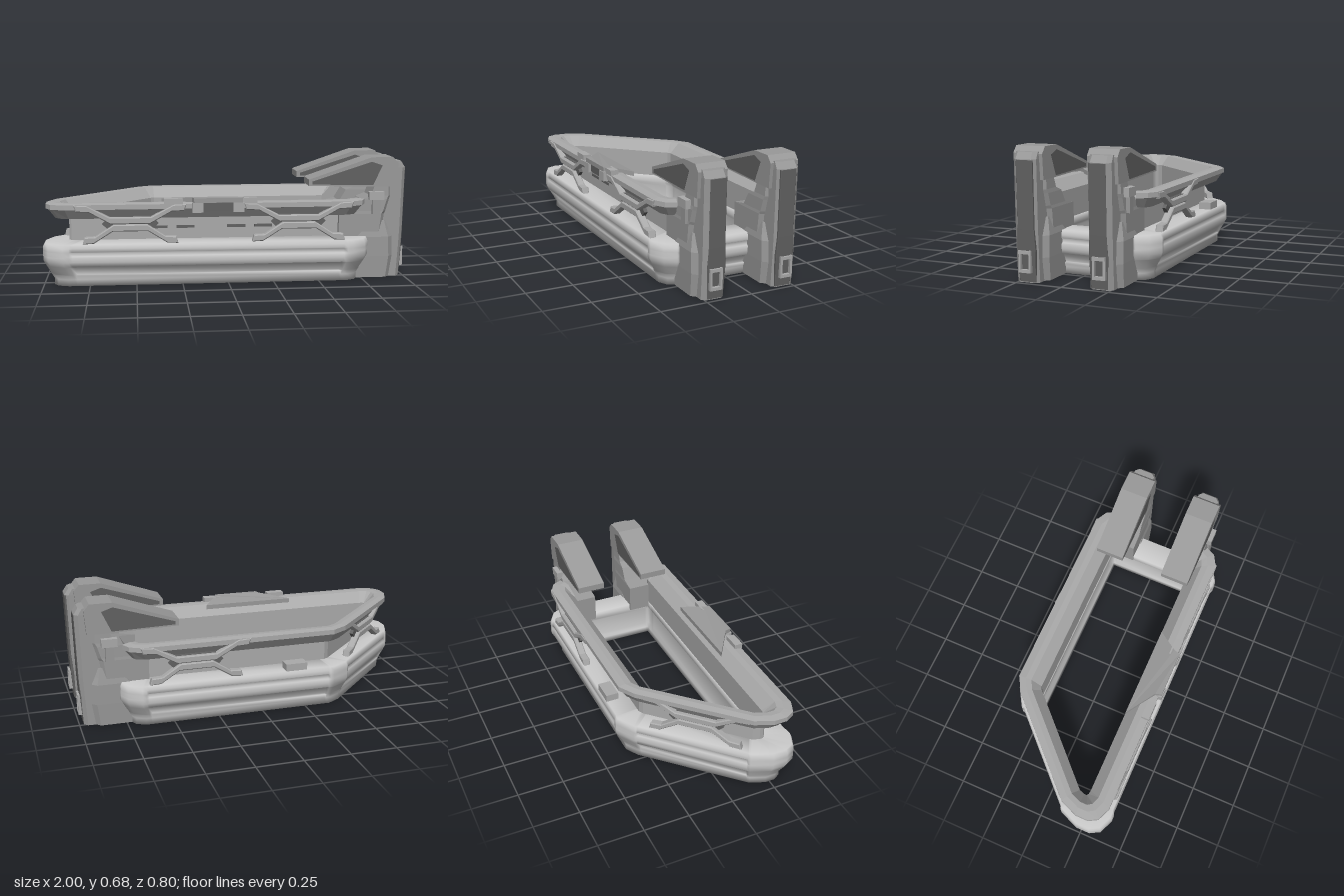
import * as THREE from 'three';
import { mergeVertices } from 'three/addons/utils/BufferGeometryUtils.js';

function material(color, flatShading = true) {
  return new THREE.MeshStandardMaterial({ color, flatShading, side: THREE.DoubleSide });
}
const ringGrey = material(0xc4c4c4, false);
const rimGrey = material(0xaaaaaa);
const braceGrey = material(0xaaaaaa);
const armGrey = material(0x999999);
const darkGrey = material(0x626262);

function add(parent, name, geo, mat, x = 0, y = 0, z = 0) {
  const m = new THREE.Mesh(geo, mat);
  m.name = name;
  m.position.set(x, y, z);
  parent.add(m);
}

// box given by its min and max corners
function box(parent, name, mat, x0, x1, y0, y1, z0, z1) {
  add(parent, name, new THREE.BoxGeometry(x1 - x0, y1 - y0, z1 - z0), mat,
    (x0 + x1) / 2, (y0 + y1) / 2, (z0 + z1) / 2);
}

// skin over closed cross-sections; joined end to start, or capped with fans
function skin(rows, loop) {
  const n = rows[0].length, tris = [];
  for (let i = 0; i < rows.length - (loop ? 0 : 1); i++) {
    const a = rows[i], b = rows[(i + 1) % rows.length];
    for (let j = 0; j < n; j++) {
      const k = (j + 1) % n;
      tris.push([a[j], b[j], b[k]], [a[j], b[k], a[k]]);
    }
  }
  if (!loop) {
    const a = rows[0], b = rows[rows.length - 1];
    for (let j = 1; j < n - 1; j++) tris.push([a[0], a[j], a[j + 1]], [b[0], b[j + 1], b[j]]);
  }
  // turn the faces outwards by the sign of the volume
  let volume = 0;
  for (const [a, b, c] of tris) volume += a.dot(b.clone().cross(c));
  if (volume < 0) tris.forEach(t => t.reverse());
  const g = mergeVertices(new THREE.BufferGeometry().setFromPoints(tris.flat()));
  g.computeVertexNormals();
  return g;
}

function extrude(pts, depth, bevel = 0) {
  return new THREE.ExtrudeGeometry(new THREE.Shape(pts.map(p => new THREE.Vector2(...p))), {
    depth, bevelEnabled: bevel > 0, bevelSize: bevel, bevelThickness: bevel, bevelSegments: 1, bevelOffset: -bevel
  });
}

// plan of the frame: outer and inner corner pairs [x, z, innerX, innerZ]
const plan = [
  [0.78, 0.30, 0.63, 0.242], [0.75, 0.36, 0.63, 0.245], [0.68, 0.40, 0.61, 0.245],
  [-0.89, 0.40, -0.82, 0.245], [-0.97, 0.365, -0.84, 0.242], [-1.0, 0.31, -0.85, 0.235],
  [-1.0, 0.23, -0.85, 0.22], [-0.955, 0.12, -0.84, 0.19], [-0.50, -0.34, -0.41, -0.24],
  [-0.40, -0.40, -0.39, -0.25], [0.68, -0.40, 0.61, -0.25], [0.75, -0.36, 0.63, -0.25],
  [0.78, -0.30, 0.63, -0.245]
];

// stations along the plan; the long runs are marked as recessed between the corners
function stations(closed) {
  const out = [];
  plan.forEach((a, i) => {
    out.push({ p: a, r: 0 });
    const b = plan[(i + 1) % plan.length];
    if (!closed && i === plan.length - 1) return;
    if (Math.hypot(b[0] - a[0], b[1] - a[1]) < 0.4) return;
    for (const [f, r] of [[0.02, 0], [0.03, 1], [0.97, 1], [0.98, 0]])
      out.push({ p: a.map((v, k) => v + (b[k] - v) * f), r });
  });
  return out;
}

// profile entries: [way from outer to inner edge, y, recess on long runs]
function frameRing(profile, closed) {
  return skin(stations(closed).map(({ p, r }) => profile.map(([t, y, k = 0]) => {
    const f = t + k * r;
    return new THREE.Vector3(p[0] + (p[2] - p[0]) * f, y, p[1] + (p[3] - p[1]) * f);
  })), closed);
}

// crossed brace standing well off the wall, between ring and rim
function crossBrace(parent, x) {
  const g = new THREE.Group();
  g.name = 'crossBrace';
  g.position.x = x;
  const line = [[-0.3, 0.445], [-0.23, 0.442], [-0.11, 0.378], [0.11, 0.378], [0.23, 0.442], [0.3, 0.445]];
  const upper = [...line, ...line.map(([a, b]) => [a * 0.96, b - 0.036]).reverse()];
  const lower = upper.map(([a, b]) => [a * 0.85, 0.68 - b]).reverse();
  add(g, 'upperBrace', extrude(upper, 0.03, 0.005), braceGrey, 0, 0, -0.05);
  add(g, 'lowerBrace', extrude(lower, 0.03, 0.005), braceGrey, 0, 0, -0.05);
  add(g, 'bracePlate', extrude([[-0.15, 0.34], [-0.11, 0.3], [0.11, 0.3], [0.15, 0.34], [0.11, 0.38], [-0.11, 0.38]], 0.02),
    darkGrey, 0, 0, -0.057);
  parent.add(g);
}

// side group: local x runs along the side, local z points outwards
function side(parent, name, x, z, angle, braces) {
  const g = new THREE.Group();
  g.name = name;
  g.position.set(x, 0, z);
  g.rotation.y = angle;
  braces.forEach(b => crossBrace(g, b));
  parent.add(g);
  return g;
}

// upright: rows of [y, inner x, outer x, half width, chamfer]
function upright(rows) {
  return skin(rows.map(([y, x0, x1, h, c]) => [
    [x0, -h], [x1 - c, -h], [x1, c - h], [x1, h - c], [x1 - c, h], [x0, h]
  ].map(([x, z]) => new THREE.Vector3(x, y, z))), false);
}

function arm(s) {
  const g = new THREE.Group();
  g.name = s > 0 ? 'leftArm' : 'rightArm';
  g.position.z = 0.2 * s;
  add(g, 'armColumn', upright([
    [0, 0.74, 0.975, 0.062, 0.02], [0.16, 0.76, 0.985, 0.062, 0.02], [0.27, 0.82, 0.99, 0.062, 0.02],
    [0.5, 0.87, 0.995, 0.062, 0.02], [0.615, 0.88, 0.998, 0.062, 0.02], [0.65, 0.88, 0.975, 0.06, 0.02]
  ]), armGrey);
  // dark panel down the outer face, set towards the middle
  add(g, 'armPanel', upright([
    [0.005, 0.93, 0.978, 0.044, 0.002], [0.16, 0.94, 0.988, 0.05, 0.002], [0.27, 0.94, 0.993, 0.045, 0.002],
    [0.612, 0.95, 1.0, 0.045, 0.002]
  ]), darkGrey, 0, 0, -0.005 * s);
  add(g, 'armFoot', upright([
    [0, 0.71, 0.92, 0.085, 0.03], [0.12, 0.71, 0.945, 0.088, 0.04],
    [0.23, 0.72, 0.94, 0.088, 0.04], [0.27, 0.76, 0.92, 0.08, 0.03], [0.32, 0.79, 0.9, 0.07, 0.02]
  ]), armGrey);
  // bracket that ties the arm to the frame
  add(g, 'armBracket', upright([
    [0.2, 0.62, 0.87, 0.082, 0.03], [0.36, 0.62, 0.89, 0.082, 0.03], [0.375, 0.71, 0.9, 0.08, 0.03],
    [0.44, 0.75, 0.91, 0.078, 0.02], [0.46, 0.8, 0.92, 0.075, 0.02], [0.54, 0.83, 0.92, 0.072, 0.02]
  ]), armGrey);
  add(g, 'armHook', extrude([[0.45, 0.52], [0.8, 0.512], [0.94, 0.51], [0.95, 0.64], [0.92, 0.675],
    [0.8, 0.675], [0.45, 0.555]], 0.16), armGrey, 0, 0, -0.08);
  // dark cheeks on both sides of the hook
  const cheek = [[0.47, 0.528], [0.81, 0.52], [0.86, 0.63], [0.8, 0.65], [0.47, 0.545]];
  for (const z of [-0.082, 0.08]) add(g, 'hookCheek', extrude(cheek, 0.002), darkGrey, 0, 0, z);
  // socket frame on the outer face
  for (const z of [-0.028, 0.028]) box(g, 'socketSide', braceGrey, 0.95, 1.0, 0.055, 0.165, z - 0.006, z + 0.006);
  for (const y of [0.061, 0.155]) box(g, 'socketBar', braceGrey, 0.95, 1.0, y - 0.008, y + 0.008, -0.034, 0.034);
  // latch on the flank
  const zf = 0.085 * s;
  box(g, 'flankLatch', braceGrey, 0.785, 0.87, 0.44, 0.485, zf - 0.018, zf + 0.018);
  box(g, 'latchStem', armGrey, 0.805, 0.85, 0.36, 0.44, zf - 0.015, zf + 0.01);
  return g;
}

export function createModel() {
  const model = new THREE.Group();
  model.name = 'frame';

  // heavy lower ring: shallow slot in its lower slope, hollowed inner face
  add(model, 'lowerRing', frameRing([
    [0.37, 0], [0.37, 0.035], [0.28, 0.06], [0.28, 0.064, 0.1], [0.1, 0.11, 0.1], [0.09, 0.114],
    [0, 0.14, 0.05], [0, 0.165, 0.05], [0, 0.17, 0.1], [0, 0.19, 0.1], [0, 0.195, 0.05],
    [0, 0.215, 0.05], [0.06, 0.235, 0.03], [1, 0.237], [1, 0.19], [0.9, 0.17], [0.9, 0.06], [1, 0.035], [1, 0]
  ], true), ringGrey);

  // thin wall at the inner edge under a wide overhanging rim, open between the arms
  add(model, 'upperRim', frameRing([
    [0.92, 0.36], [0.45, 0.365], [0.2, 0.418], [0.13, 0.42], [0.13, 0.446], [0.4, 0.451], [0.62, 0.448],
    [1, 0.39], [1, 0.365], [1, 0.235], [0.92, 0.235]
  ], false), rimGrey);

  // sides with braces and wall slots
  const front = side(model, 'frontSide', 0, 0.4, 0, [-0.53, 0.38]);
  for (const x of [-0.38, -0.23, 0.05, 0.2]) box(front, 'wallSlot', darkGrey, x - 0.05, x + 0.05, 0.295, 0.31, -0.148, -0.138);
  const back = side(model, 'backSide', 0, -0.4, Math.PI, [-0.38]);
  box(back, 'backClip', braceGrey, 0.12, 0.24, 0.235, 0.275, -0.08, -0.01);
  side(model, 'slantedSide', -0.73, -0.1, -Math.PI * 0.75, [0]);

  // centre bracket on the front rim, its plate dipping inwards
  const plate = extrude([[-0.36, -0.25], [-0.2, -0.36], [-0.19, -0.395], [0.07, -0.395],
    [0.08, -0.36], [0.16, -0.25]], 0.025).rotateX(-Math.PI / 2);
  const pos = plate.attributes.position;
  for (let i = 0; i < pos.count; i++) if (pos.getZ(i) < 0.3) pos.setY(i, pos.getY(i) - 0.02);
  add(model, 'bracketPlate', plate, armGrey, 0, 0.452, 0);
  box(model, 'bracketBody', darkGrey, -0.15, 0.03, 0.405, 0.45, 0.34, 0.385);
  for (const x of [-0.17, 0.05]) box(model, 'bracketCheek', braceGrey, x - 0.03, x + 0.03, 0.4, 0.452, 0.35, 0.4);
  for (const x of [-0.3, 0.1]) box(model, 'bracketWing', braceGrey, x - 0.05, x + 0.05, 0.445, 0.475, 0.34, 0.385);

  model.add(arm(1), arm(-1));
  return model;
}
